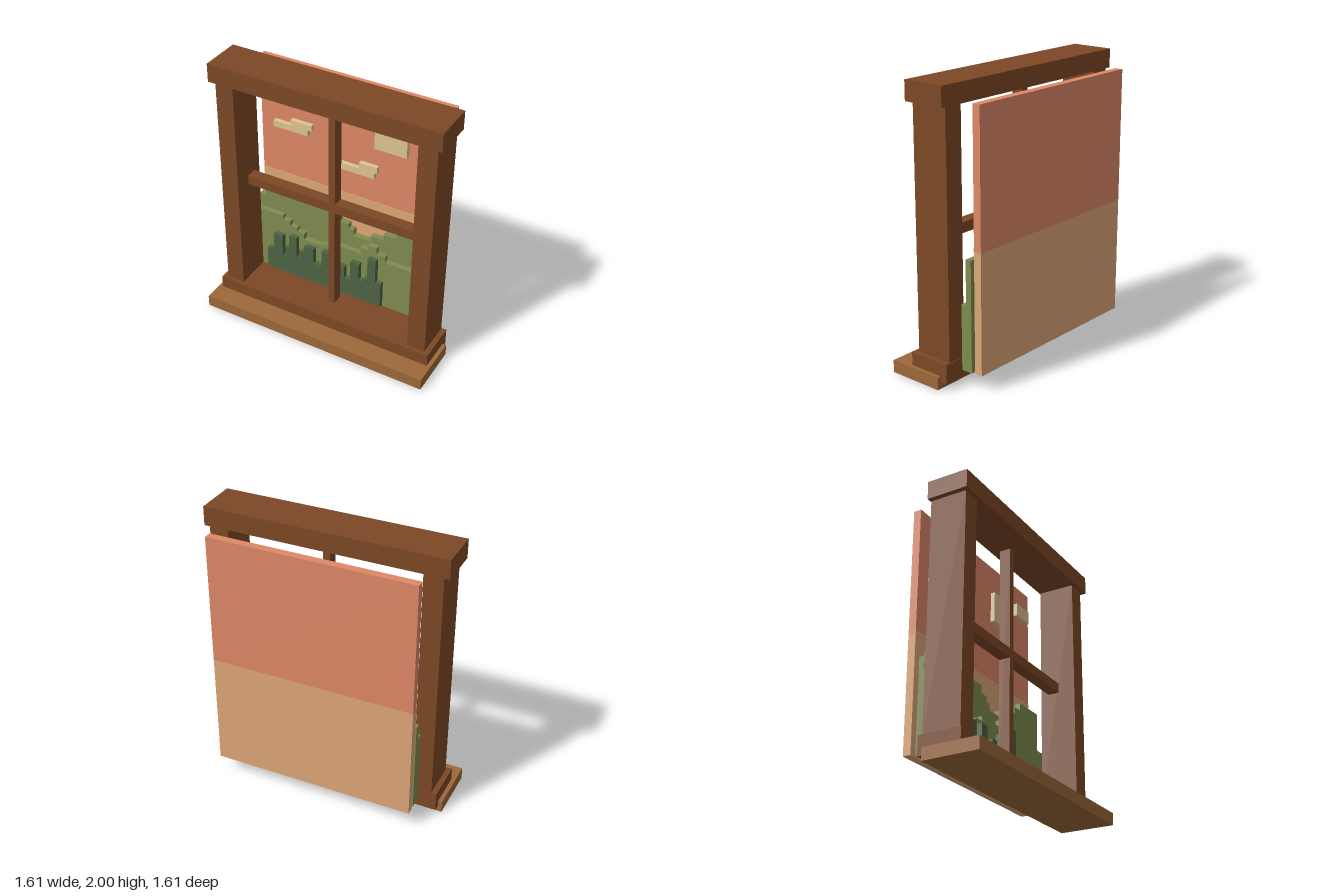
import * as THREE from 'three';

const mat = (name, hex) => {
  const m = new THREE.MeshStandardMaterial({ color: hex });
  m.name = name;
  return m;
};

export function createModel() {
  const wood = mat('dark wood', 0x7d4825);
  const sillWood = mat('light wood', 0x9d6839);
  const salmon = mat('sunset salmon', 0xdf8867);
  const tan = mat('horizon tan', 0xdea777);
  const cream = mat('cloud cream', 0xdfc592);
  const olive = mat('olive leaves', 0x808c50);
  const green = mat('dark leaves', 0x4d6342);

  const model = new THREE.Group();
  model.name = 'windowWithGarden';

  // box from its limits along each axis
  const box = (name, m, x0, x1, y0, y1, z0, z1, parent = model) => {
    const mesh = new THREE.Mesh(new THREE.BoxGeometry(x1 - x0, y1 - y0, z1 - z0), m);
    mesh.position.set((x0 + x1) / 2, (y0 + y1) / 2, (z0 + z1) / 2);
    mesh.name = name;
    parent.add(mesh);
    return mesh;
  };

  // stepped slab: [right end, top] for each step, extruded through its depth
  const hedge = (name, m, left, base, z0, z1, steps) => {
    const shape = new THREE.Shape();
    shape.moveTo(left, base);
    let x = left;
    for (const [end, top] of steps) {
      shape.lineTo(x, top);
      shape.lineTo(end, top);
      x = end;
    }
    shape.lineTo(x, base);
    shape.closePath();
    const geo = new THREE.ExtrudeGeometry(shape, { depth: z1 - z0, bevelEnabled: false });
    const mesh = new THREE.Mesh(geo, m);
    mesh.position.z = z0;
    mesh.name = name;
    model.add(mesh);
  };

  // window frame
  box('sill', sillWood, -0.887, 0.887, 0, 0.088, -0.155, 0.253);
  box('bottomBeam', wood, -0.858, 0.858, 0.045, 0.182, -0.205, 0.104);
  box('topBeam', wood, -0.858, 0.858, 1.865, 2, -0.205, 0.104);
  for (const [name, x] of [['leftPost', 0.752], ['rightPost', -0.752]])
    box(name, wood, x - 0.068, x + 0.068, 0.182, 1.865, -0.2, 0.075);
  box('mullion', wood, -0.025, 0.025, 0.182, 1.865, -0.14, -0.055);
  box('transom', wood, -0.685, 0.685, 1.0, 1.072, -0.139, -0.054);

  // sky backdrop
  box('upperSky', salmon, -0.735, 0.735, 0.955, 1.895, -0.4, -0.343);
  box('lowerSky', tan, -0.735, 0.735, 0.12, 0.955, -0.4, -0.343);
  box('horizonStrip', tan, -0.735, 0.735, 0.955, 0.978, -0.343, -0.34);

  // stepped clouds: x range and y range of each block
  const clouds = [
    [[-0.62, -0.34, 1.37, 1.418], [-0.48, -0.31, 1.418, 1.462]],
    [[-0.105, 0.19, 1.19, 1.24], [0.07, 0.21, 1.24, 1.288]],
    [[0.185, 0.43, 1.44, 1.675]],
    [[0.51, 0.69, 1.63, 1.73]],
  ];
  clouds.forEach((blocks, i) => {
    const cloud = new THREE.Group();
    cloud.name = 'cloud' + (i + 1);
    blocks.forEach(([x0, x1, y0, y1]) =>
      box('cloudBlock', cream, x0, x1, y0, y1, -0.343, -0.31, cloud));
    model.add(cloud);
  });

  // three layers of foliage
  hedge('backHedge', olive, -0.73, 0.11, -0.31, -0.266, [
    [-0.68, 0.78], [-0.61, 0.83], [-0.4, 0.885], [-0.05, 0.83], [0.02, 0.77],
    [0.06, 0.73], [0.2, 0.68], [0.3, 0.73], [0.4, 0.78], [0.48, 0.83], [0.73, 0.885],
  ]);
  hedge('middleHedge', olive, -0.73, 0.11, -0.266, -0.226, [
    [-0.51, 0.67], [-0.45, 0.64], [-0.39, 0.6], [-0.33, 0.57], [-0.18, 0.52],
    [-0.1, 0.54], [0.14, 0.575], [0.2, 0.63], [0.27, 0.67], [0.34, 0.62], [0.73, 0.57],
  ]);
  hedge('frontBush', green, -0.63, 0.11, -0.226, -0.186, [
    [-0.57, 0.36], [-0.495, 0.51], [-0.47, 0.33], [-0.437, 0.42], [-0.375, 0.535],
    [-0.345, 0.36], [-0.31, 0.43], [-0.23, 0.49], [-0.16, 0.36], [-0.09, 0.5],
    [-0.03, 0.36], [0.03, 0.43], [0.08, 0.33], [0.15, 0.5], [0.19, 0.36],
    [0.22, 0.39], [0.285, 0.585], [0.33, 0.39],
  ]);

  // the window stands turned by an eighth
  model.rotation.y = -Math.PI / 4;
  const group = new THREE.Group();
  group.name = 'model';
  group.add(model);
  return group;
}
